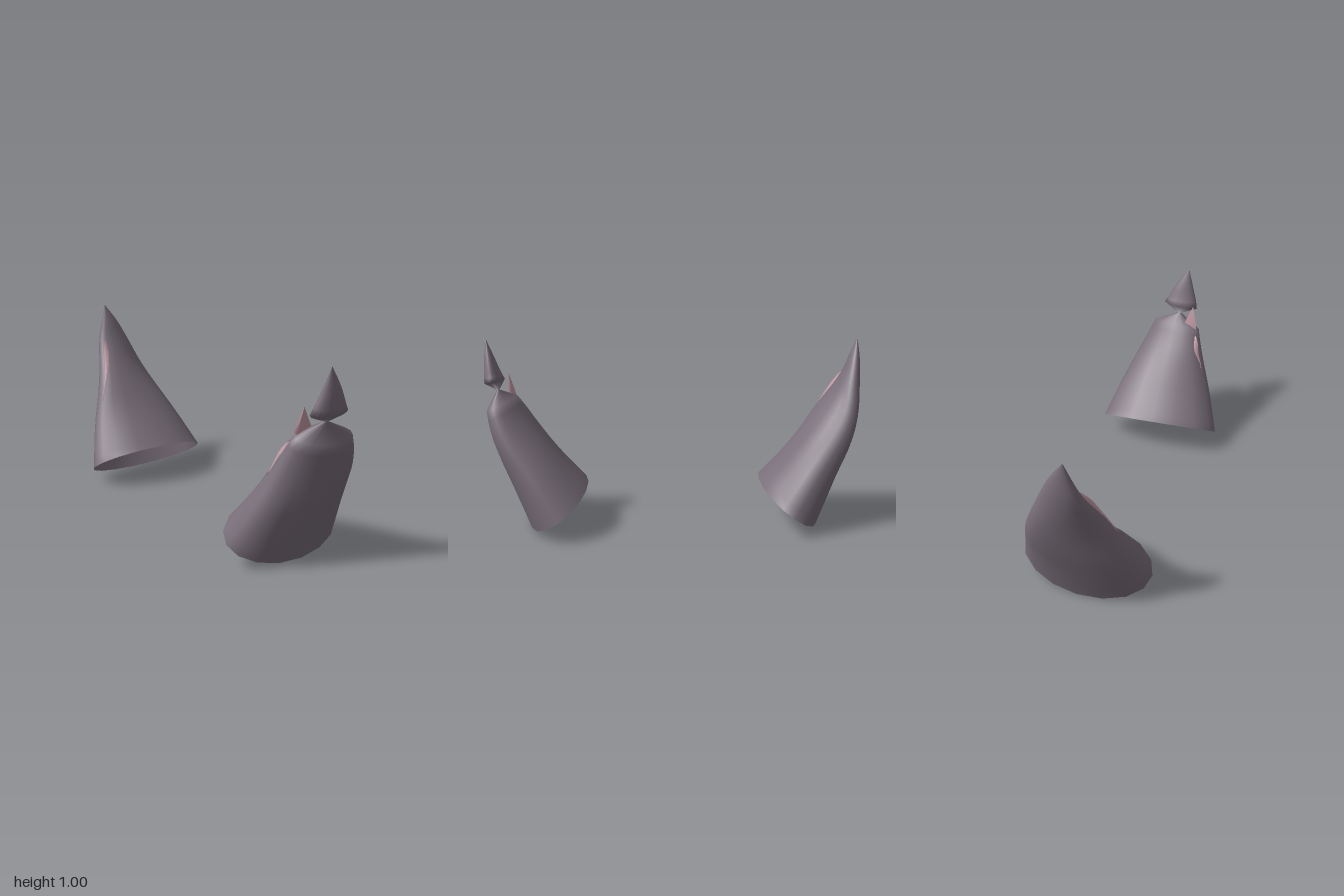
import * as THREE from 'three';

const hornMat = new THREE.MeshStandardMaterial({ color: 0x7a6f7a, side: THREE.DoubleSide });
const woundMat = new THREE.MeshStandardMaterial({ color: 0xc49da8, side: THREE.DoubleSide });
const SIDES = 16;

// Horn sections from base to tip:
// outer edge x, y, middle z, inner edge x, y, half width in z
const sections = [
  [0.784, 0.0, 0.00, 0.467, 0.222, 0.353],
  [0.863, 0.21, 0.00, 0.60, 0.37, 0.288],
  [0.933, 0.41, 0.004, 0.732, 0.535, 0.217],
  [0.982, 0.635, 0.014, 0.845, 0.692, 0.143],
  [1.0, 0.80, 0.026, 0.91, 0.81, 0.091],
  [0.998, 0.90, 0.036, 0.948, 0.905, 0.049],
  [0.988, 0.997, 0.055, 0.988, 0.997, 0.001],
];
const LAST = sections.length - 1;
const outerCurve = new THREE.CatmullRomCurve3(sections.map(s => new THREE.Vector3(s[0], s[1], s[2])));
const innerCurve = new THREE.CatmullRomCurve3(sections.map(s => new THREE.Vector3(s[3], s[4], s[5])));

// Point on the horn: t runs base to tip, a = 0 is the inner edge, a = PI/2 the front.
// The base turns slightly outward at the front, the upper body outward at the back.
function hornPoint(t, a, swell = 1) {
  const o = outerCurve.getPoint(t / LAST), i = innerCurve.getPoint(t / LAST);
  const c = Math.cos(a) * swell, s = Math.sin(a) * swell;
  const turn = 0.05 * (1 - t / LAST) - 0.22 * Math.exp(-((t - 2.7) ** 2));
  return new THREE.Vector3(
    (o.x + i.x) / 2 + (i.x - o.x) / 2 * c + turn * i.z * s,
    (o.y + i.y) / 2 + (i.y - o.y) / 2 * c,
    o.z + i.z * s);
}

function ringAt(t) {
  return Array.from({ length: SIDES }, (_, j) => hornPoint(t, j / SIDES * Math.PI * 2));
}

// Rings for a stretch of horn
function stretch(t0, t1) {
  const n = Math.ceil((t1 - t0) * 4);
  return Array.from({ length: n + 1 }, (_, k) => ringAt(t0 + (t1 - t0) * k / n));
}

// Skin a list of equal rings; side -1 mirrors in x
function loft(name, rings, side, material, closed = true) {
  const n = rings[0].length, pos = [], idx = [];
  rings.forEach(r => r.forEach(p => pos.push(p.x * side, p.y, p.z)));
  for (let k = 0; k < rings.length - 1; k++) {
    for (let j = 0; j < (closed ? n : n - 1); j++) {
      const a = k * n + j, b = k * n + (j + 1) % n, c = a + n, d = b + n;
      if (side > 0) idx.push(a, b, d, a, d, c);
      else idx.push(a, d, b, a, c, d);
    }
  }
  const g = new THREE.BufferGeometry();
  g.setAttribute('position', new THREE.Float32BufferAttribute(pos, 3));
  g.setIndex(idx);
  g.computeVertexNormals();
  const mesh = new THREE.Mesh(g, material);
  mesh.name = name;
  return mesh;
}

// Long gash on the front inner face: thin below, broad and raised near its top
function gash(name, side, t0, t1, a0, a1, halfWidth, rise) {
  const rows = [];
  for (let k = 0; k <= 10; k++) {
    const u = k / 10, t = t0 + (t1 - t0) * u;
    const shape = Math.sin(Math.PI * Math.pow(u, 1.5));
    const a = a0 + (a1 - a0) * u + 0.03 * Math.sin(u * 9);
    const w = halfWidth * shape * (1 + 0.9 * u);
    const ridge = 1.02 + rise * shape * u * u;
    rows.push([hornPoint(t, a - w, 0.99), hornPoint(t, a, ridge), hornPoint(t, a + w, 0.99)]);
  }
  return loft(name, rows, side, woundMat, false);
}

export function createModel() {
  const model = new THREE.Group();

  // Whole horn on the right
  const whole = new THREE.Group();
  whole.name = 'rightHorn';
  whole.add(loft('hornShell', stretch(0, LAST), -1, hornMat));
  whole.add(gash('longGash', -1, 1.85, 3.95, 1.17, 0.8, 0.11, 0.35));

  // Broken horn on the left: stump and tip pinched together at a thin neck
  const broken = new THREE.Group();
  broken.name = 'leftHorn';
  const neck = Array.from({ length: SIDES }, (_, j) => {
    const a = j / SIDES * Math.PI * 2;
    return new THREE.Vector3(0.932 - 0.006 * Math.cos(a), 0.732, 0.02 + 0.01 * Math.sin(a));
  });
  // The underside of the tip hangs lower at the front
  const tipRings = stretch(3.8, LAST);
  tipRings[0].forEach(p => { p.y -= 0.08 * (p.z - 0.02); });
  broken.add(loft('brokenShell', [...stretch(0, 3), neck, ...tipRings], 1, hornMat));
  broken.add(gash('shortGash', 1, 1.85, 2.8, 1.17, 1.05, 0.09, 0.1));

  // Slim upright shard beside the break
  const tip = new THREE.Vector3(0.888, 0.807, 0.115);
  const foot = new THREE.Vector3(0.862, 0.655, 0.14);
  const base = [[0.858, 0.69, 0.148], [0.878, 0.685, 0.142], [0.888, 0.705, 0.068], [0.870, 0.705, 0.075]]
    .map(p => new THREE.Vector3(...p));
  broken.add(loft('shard', [base.map(() => foot), base, base.map(() => tip)], 1, woundMat));

  model.add(whole, broken);
  return model;
}
